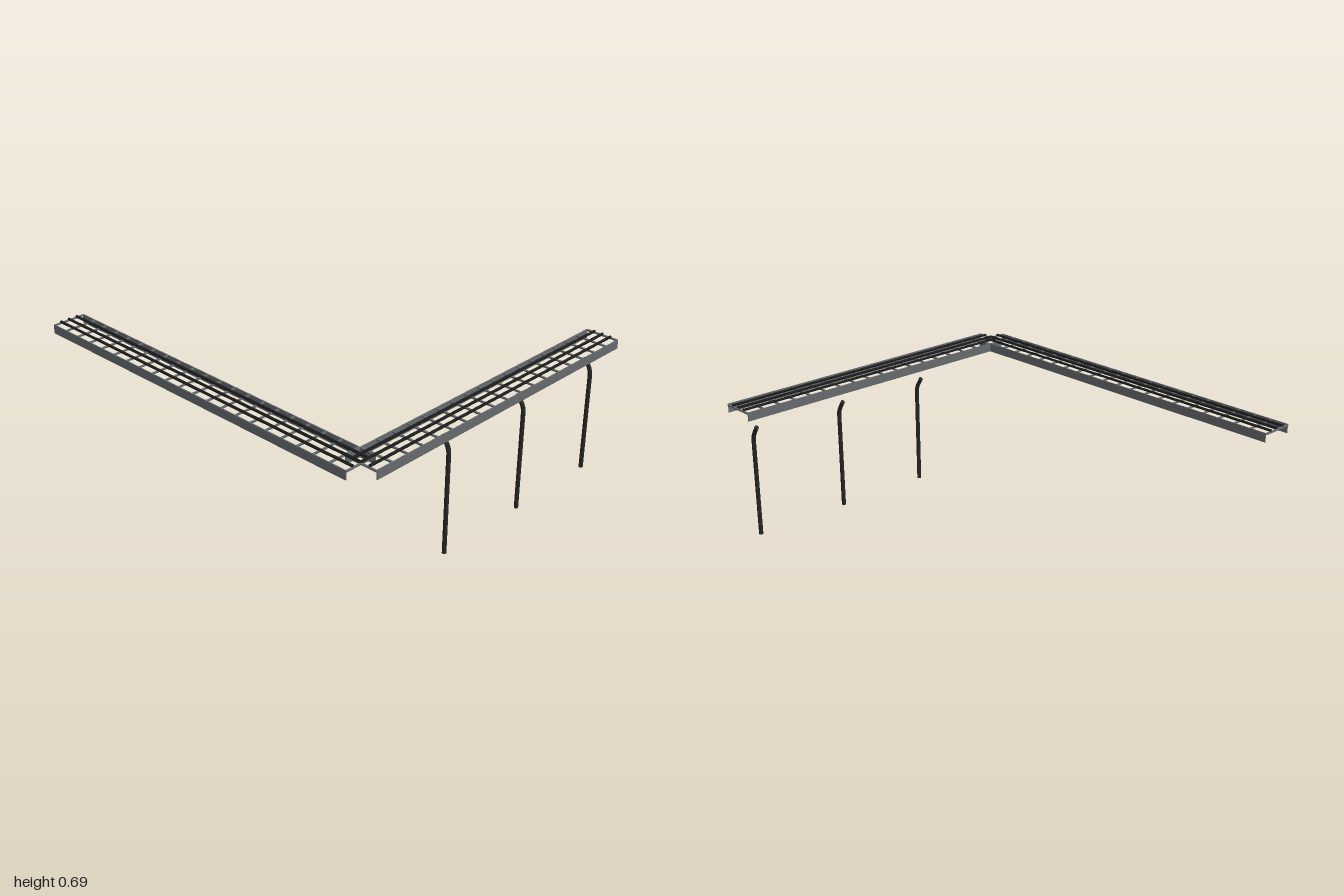
import * as THREE from 'three';

export function createModel() {
  const model = new THREE.Group();
  model.name = 'cableTrayRun';

  const mat = (name, color) => {
    const m = new THREE.MeshStandardMaterial({ color });
    m.name = name;
    return m;
  };
  const steel = mat('greySteel', 0x666a6e);
  const rubber = mat('blackCable', 0x1c1c1c);
  const post = mat('darkPost', 0x242424);

  const add = (parent, name, geometry, material, x, y, z) => {
    const mesh = new THREE.Mesh(geometry, material);
    mesh.name = name;
    mesh.position.set(x, y, z);
    parent.add(mesh);
    return mesh;
  };

  // Ladder tray running along its own x axis, centred on its origin
  const width = 0.172;
  function tray(name, length, bays) {
    const group = new THREE.Group();
    group.name = name;

    // Hanging side plates
    for (const side of [-1, 1]) {
      add(group, 'sidePlate', new THREE.BoxGeometry(length, 0.044, 0.005), steel,
        0, 0.66, side * (width / 2 - 0.0025));
    }

    // Evenly spaced rungs
    const rung = new THREE.BoxGeometry(0.009, 0.007, width - 0.006);
    for (let i = 0; i <= bays; i++) {
      add(group, 'rung', rung, steel, -length / 2 + (length * i) / bays, 0.677, 0);
    }

    // Cables lying on the rungs
    const cable = new THREE.CylinderGeometry(0.0065, 0.0065, length, 8);
    cable.rotateZ(Math.PI / 2);
    for (const z of [-0.044, 0, 0.044]) {
      add(group, 'cable', cable, rubber, 0, 0.684, z);
    }
    model.add(group);
    return group;
  }

  const frontTray = tray('frontTray', 1.904, 21);
  frontTray.position.set(-0.044, 0, 0.771);

  const sideTray = tray('sideTray', 1.63, 18);
  sideTray.rotation.y = Math.PI / 2;
  sideTray.position.set(0.908, 0, -0.045);

  // Support posts with a bent top
  const path = new THREE.CurvePath();
  const v = (x, y) => new THREE.Vector3(x, y, 0);
  path.add(new THREE.LineCurve3(v(0, 0), v(0, 0.495)));
  path.add(new THREE.QuadraticBezierCurve3(v(0, 0.495), v(0, 0.52), v(-0.013, 0.54)));
  path.add(new THREE.LineCurve3(v(-0.013, 0.54), v(-0.036, 0.577)));
  const stem = new THREE.TubeGeometry(path, 60, 0.0105, 10, false);
  const cap = new THREE.CircleGeometry(0.0105, 10);
  for (const z of [0.234, -0.277, -0.788]) {
    const group = new THREE.Group();
    group.name = 'supportPost';
    group.position.set(0.908, 0, z);
    add(group, 'postStem', stem, post, 0, 0, 0);
    add(group, 'postFoot', cap, post, 0, 0, 0).rotation.x = Math.PI / 2;
    add(group, 'postTip', cap, post, -0.036, 0.577, 0)
      .quaternion.setFromUnitVectors(new THREE.Vector3(0, 0, 1), path.getTangent(1));
    model.add(group);
  }

  return model;
}
